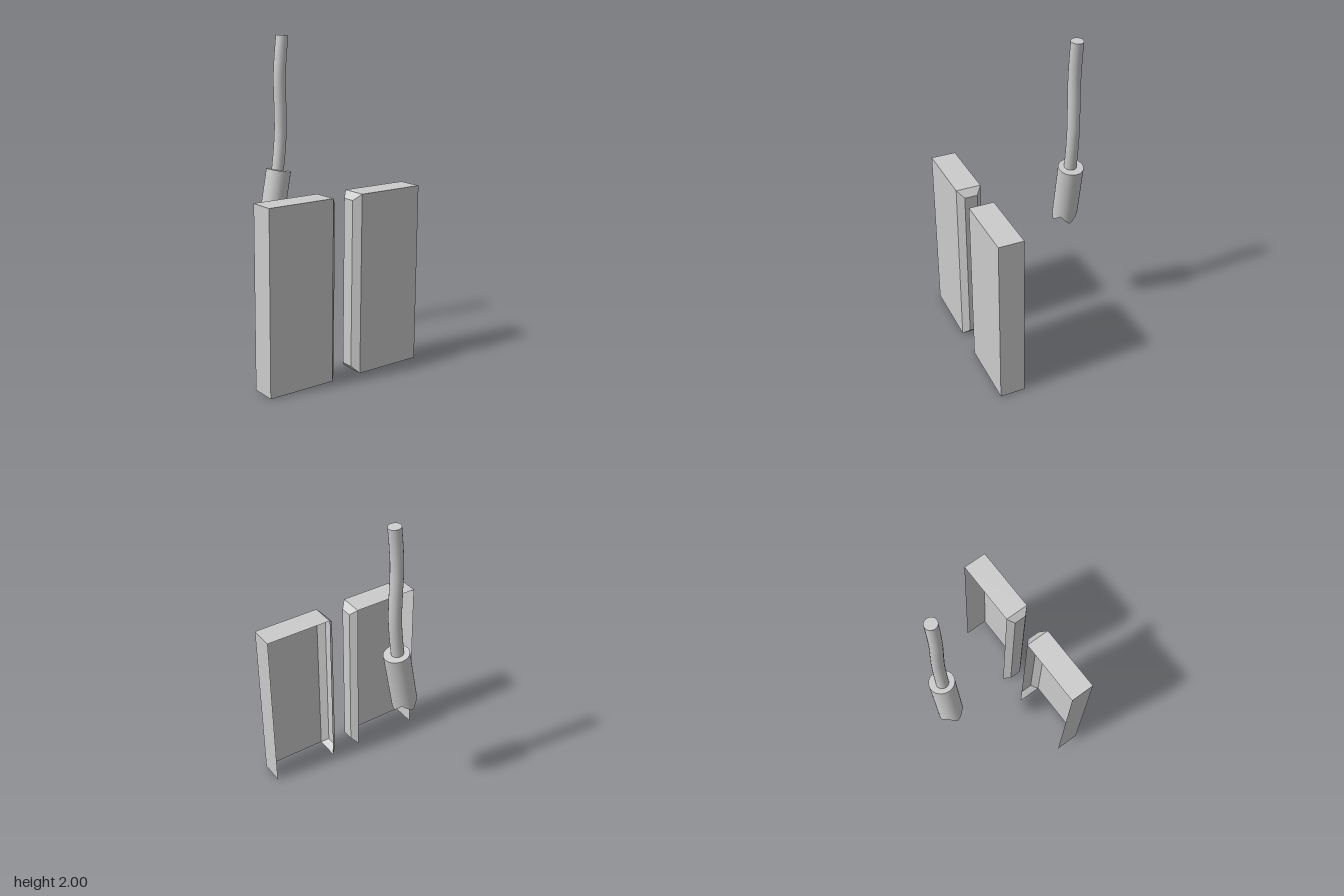
import * as THREE from 'three';

const grey = (extra = {}) => new THREE.MeshStandardMaterial({ color: 0xcccccc, ...extra });

function addMesh(parent, geometry, material, name) {
  const mesh = new THREE.Mesh(geometry, material);
  mesh.name = name;
  parent.add(mesh);
  return mesh;
}

// Flat-shaded surface from four-cornered faces
function quads(faces) {
  const pos = [];
  for (const [a, b, c, d] of faces) pos.push(...a, ...b, ...c, ...a, ...c, ...d);
  const geometry = new THREE.BufferGeometry();
  geometry.setAttribute('position', new THREE.Float32BufferAttribute(pos, 3));
  geometry.computeVertexNormals();
  return geometry;
}

// Rectangle of corners in a plane of constant x
const rect = (x, y0, y1, z0, z1) => [[x, y0, z1], [x, y0, z0], [x, y1, z0], [x, y1, z1]];

// Hollow slab, open at the back and bottom, with a bevelled inner end
function panelGeometry() {
  const outer = rect(0.54, 0, 1.11, 0.24, 0.397);
  const edge = rect(0.104, 0, 1.11, 0.24, 0.397);
  const tip = rect(0.065, 0.04, 1.07, 0.278, 0.358);
  const faces = [
    [edge[0], outer[0], outer[3], edge[3]], // front
    [edge[3], outer[3], outer[2], edge[2]], // top
    outer, // outer side
    [tip[3], tip[2], tip[1], tip[0]], // inner end
  ];
  for (let i = 0; i < 4; i++) {
    const j = (i + 1) % 4;
    faces.push([edge[i], tip[i], tip[j], edge[j]].reverse());
  }
  return quads(faces);
}

// Cylinder whose lower rim is cut into four pointed teeth
function plugGeometry(radius, length) {
  const geometry = new THREE.CylinderGeometry(radius, radius, length, 32, 1);
  const p = geometry.attributes.position;
  for (let i = 0; i < p.count; i++) {
    if (p.getY(i) > 0) continue;
    const x = p.getX(i), z = p.getZ(i);
    const turn = Math.atan2(z, x) / (Math.PI / 2);
    const fromTip = Math.abs(turn - Math.round(turn)) * 2;
    const lift = Math.hypot(x, z) < 1e-4 ? 0.05 : 0.055 * fromTip;
    p.setY(i, p.getY(i) + lift);
  }
  return geometry;
}

export function createModel() {
  const model = new THREE.Group();
  model.name = 'model';

  // Pair of mirrored panels
  const panel = panelGeometry();
  for (const [name, side] of [['leftPanel', 1], ['rightPanel', -1]]) {
    const mesh = addMesh(model, panel, grey({ side: THREE.DoubleSide, flatShading: true }), name);
    mesh.scale.x = side;
  }

  const plugAndCable = new THREE.Group();
  plugAndCable.name = 'plugAndCable';
  plugAndCable.position.z = -0.318;
  model.add(plugAndCable);

  // Tilted plug
  const plug = addMesh(plugAndCable, plugGeometry(0.079, 0.41),
    grey({ side: THREE.DoubleSide }), 'plug');
  plug.position.set(-0.039, 0.955, 0);
  plug.rotation.z = -0.178;

  // Gently bent cable
  const path = new THREE.CatmullRomCurve3([
    [-0.014, 1.13], [0.002, 1.26], [0.013, 1.4], [0.012, 1.55], [0.008, 1.74], [0.016, 1.87], [0.029, 1.996],
  ].map(([x, y]) => new THREE.Vector3(x, y, 0)));
  const radius = 0.039;
  addMesh(plugAndCable, new THREE.TubeGeometry(path, 24, radius, 20), grey(), 'cable');

  // Closed cable end
  const cap = addMesh(plugAndCable, new THREE.CircleGeometry(radius, 20), grey(), 'cableEnd');
  cap.position.copy(path.getPoint(1));
  cap.quaternion.setFromUnitVectors(new THREE.Vector3(0, 0, 1), path.getTangent(1));

  return model;
}
